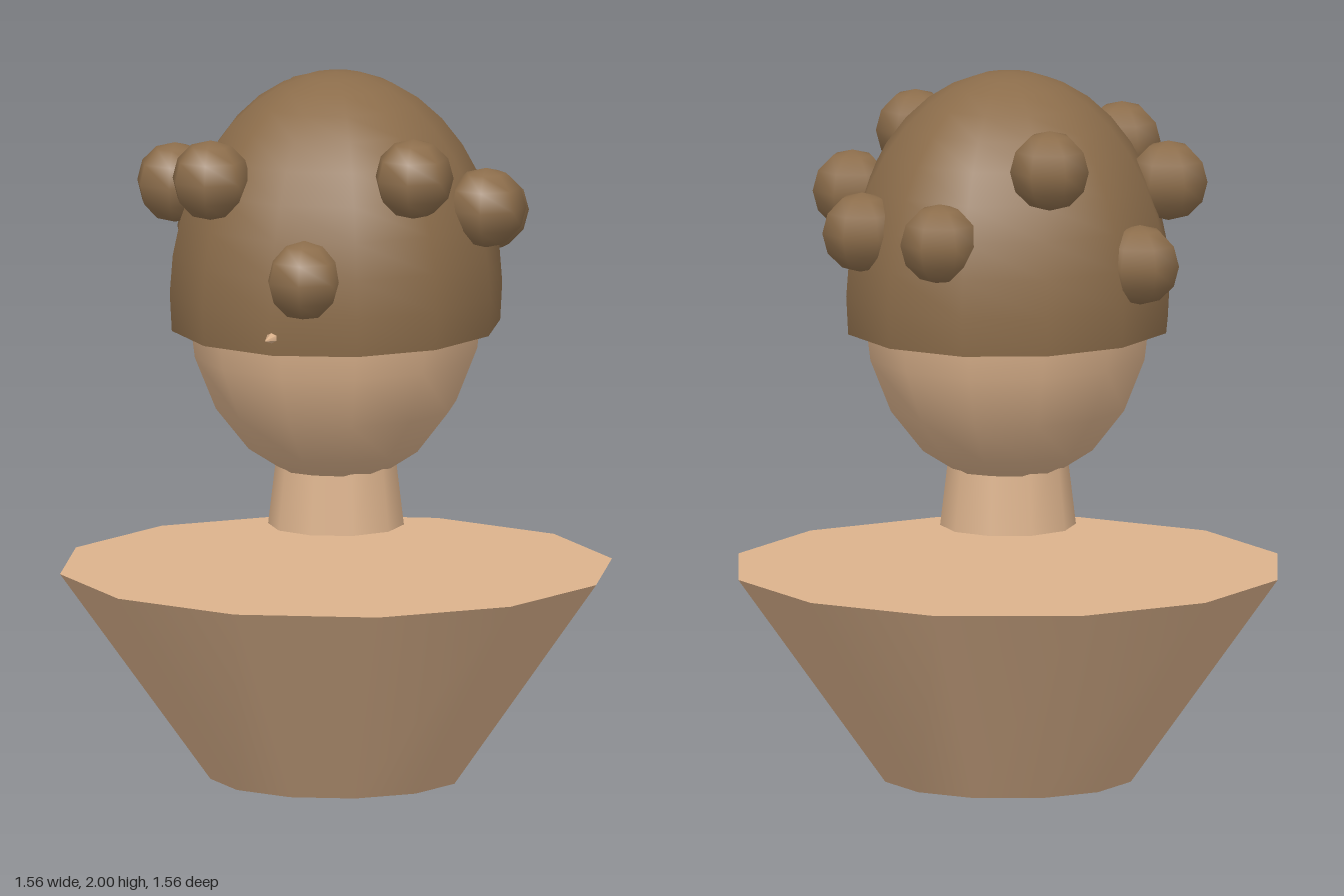
import * as THREE from 'three';

export function createModel() {
  const model = new THREE.Group();
  const skin = new THREE.MeshStandardMaterial({ color: 0xdbb28c });
  skin.name = 'skin';
  const hairBrown = new THREE.MeshStandardMaterial({ color: 0x8c6d4b, side: THREE.DoubleSide });
  hairBrown.name = 'hair brown';

  function add(name, geometry, material, x, y, z) {
    const mesh = new THREE.Mesh(geometry, material);
    mesh.name = name;
    mesh.position.set(x, y, z);
    model.add(mesh);
    return mesh;
  }

  // Flared twelve-sided bust, separate from the neck
  add('torso', new THREE.CylinderGeometry(0.78, 0.355, 0.594, 12), skin, 0, 0.297, 0);

  // Tapered neck rising into the head
  add('neck', new THREE.CylinderGeometry(0.16, 0.19, 0.25, 10), skin, 0, 0.84, 0);

  // Egg-shaped head
  add('head', new THREE.SphereGeometry(1, 12, 10), skin, 0, 1.365, 0).scale.set(0.415, 0.53, 0.44);

  // Pointed nose, its tip poking out below the fringe
  const noseShape = new THREE.ConeGeometry(0.038, 0.13, 6).rotateX(Math.PI / 2);
  add('nose', noseShape, skin, 0, 1.33, 0.482);

  // Open cap of hair reaching just below the widest line
  const cap = new THREE.SphereGeometry(1, 12, 10, 0, Math.PI * 2, 0, Math.PI * 0.55);
  add('hairCap', cap, hairBrown, 0, 1.377, 0).scale.set(0.463, 0.623, 0.5);

  // Ring of nine curls at uneven heights
  const curlShape = new THREE.SphereGeometry(0.113, 7, 6);
  const curlHeights = [1.645, 1.77, 1.49, 1.745, 1.685, 1.5, 1.8, 1.587, 1.58];
  curlHeights.forEach((y, i) => {
    const a = (i / 9) * Math.PI * 2;
    add('curl' + (i + 1), curlShape, hairBrown, 0.45 * Math.cos(a), y, 0.45 * Math.sin(a));
  });

  return model;
}
